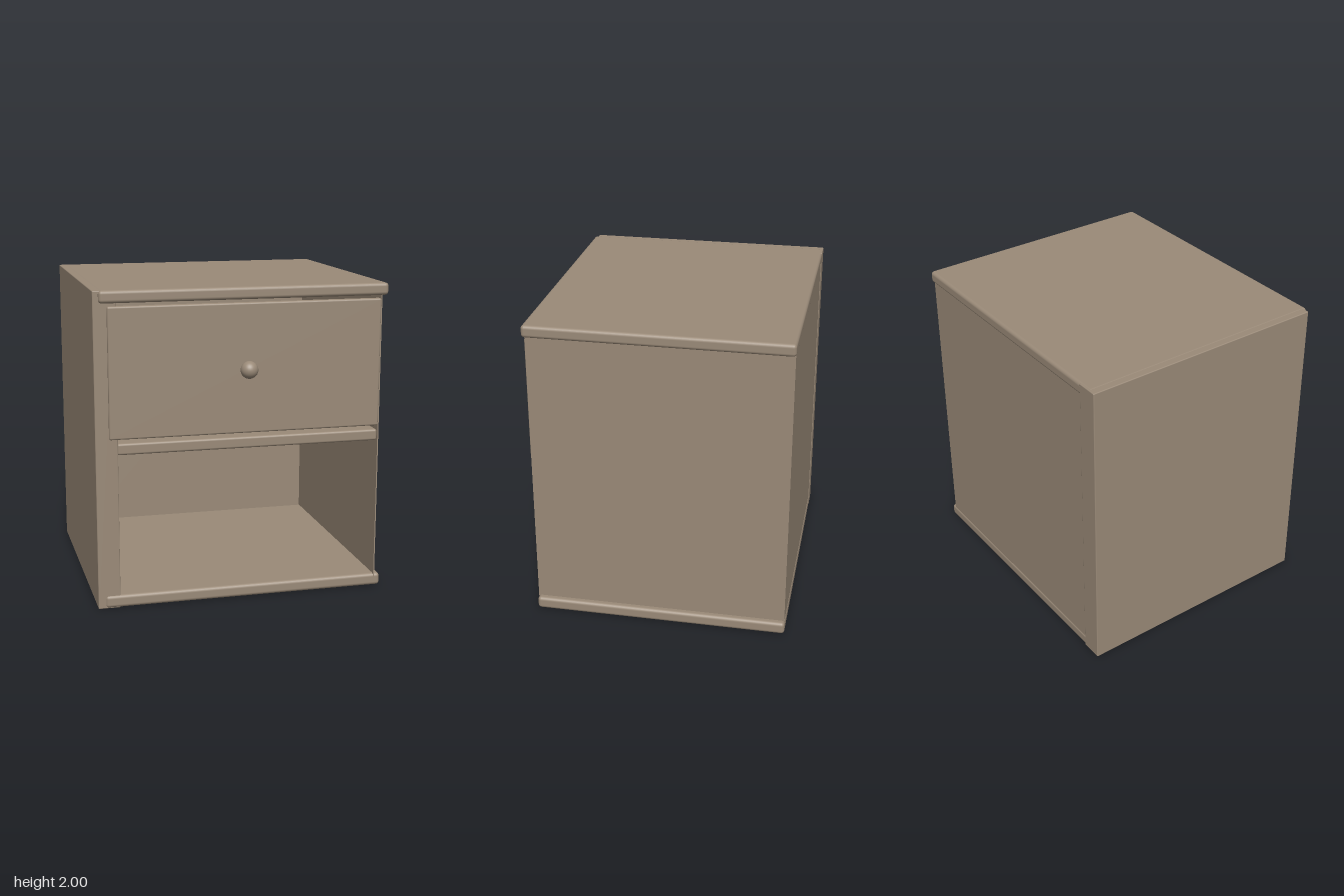
import * as THREE from 'three';
import { RoundedBoxGeometry } from 'three/addons/geometries/RoundedBoxGeometry.js';

export function createModel() {
  const cabinet = new THREE.Group();
  cabinet.name = 'bedsideCabinet';
  const wood = new THREE.MeshStandardMaterial({ color: 0x9a8a78 });
  wood.name = 'brown wood';

  // Adds a board spanning the given limits; radius rounds its edges
  function board(name, [x0, x1], [y0, y1], [z0, z1], radius = 0) {
    const size = [x1 - x0, y1 - y0, z1 - z0];
    const geometry = radius
      ? new RoundedBoxGeometry(...size, 3, radius)
      : new THREE.BoxGeometry(...size);
    const mesh = new THREE.Mesh(geometry, wood);
    mesh.name = name;
    mesh.position.set((x0 + x1) / 2, (y0 + y1) / 2, (z0 + z1) / 2);
    cabinet.add(mesh);
  }

  // Carcass: one thick side, one thin side, and a thin back
  board('thickSidePanel', [-0.935, -0.795], [0, 1.998], [-0.87, 0.752], 0.006);
  board('thinSidePanel', [0.884, 0.891], [0.04, 1.96], [-0.865, 0.763]);
  board('backPanel', [-0.8, 0.888], [0.04, 1.96], [-0.865, -0.858]);

  // Horizontal boards with rounded edges
  board('topBoard', [-0.9, 0.93], [1.922, 2], [-0.87, 0.776], 0.022);
  board('bottomBoard', [-0.89, 0.93], [0.004, 0.084], [-0.87, 0.763], 0.022);
  board('middleShelf', [-0.8, 0.886], [0.985, 1.058], [-0.86, 0.752], 0.015);

  // Drawer front and its round knob
  board('drawerFront', [-0.85, 0.885], [1.087, 1.903], [0.725, 0.77], 0.012);
  const knob = new THREE.Mesh(new THREE.SphereGeometry(0.055, 32, 20), wood);
  knob.name = 'drawerKnob';
  knob.position.set(0.015, 1.495, 0.818);
  cabinet.add(knob);

  return cabinet;
}
